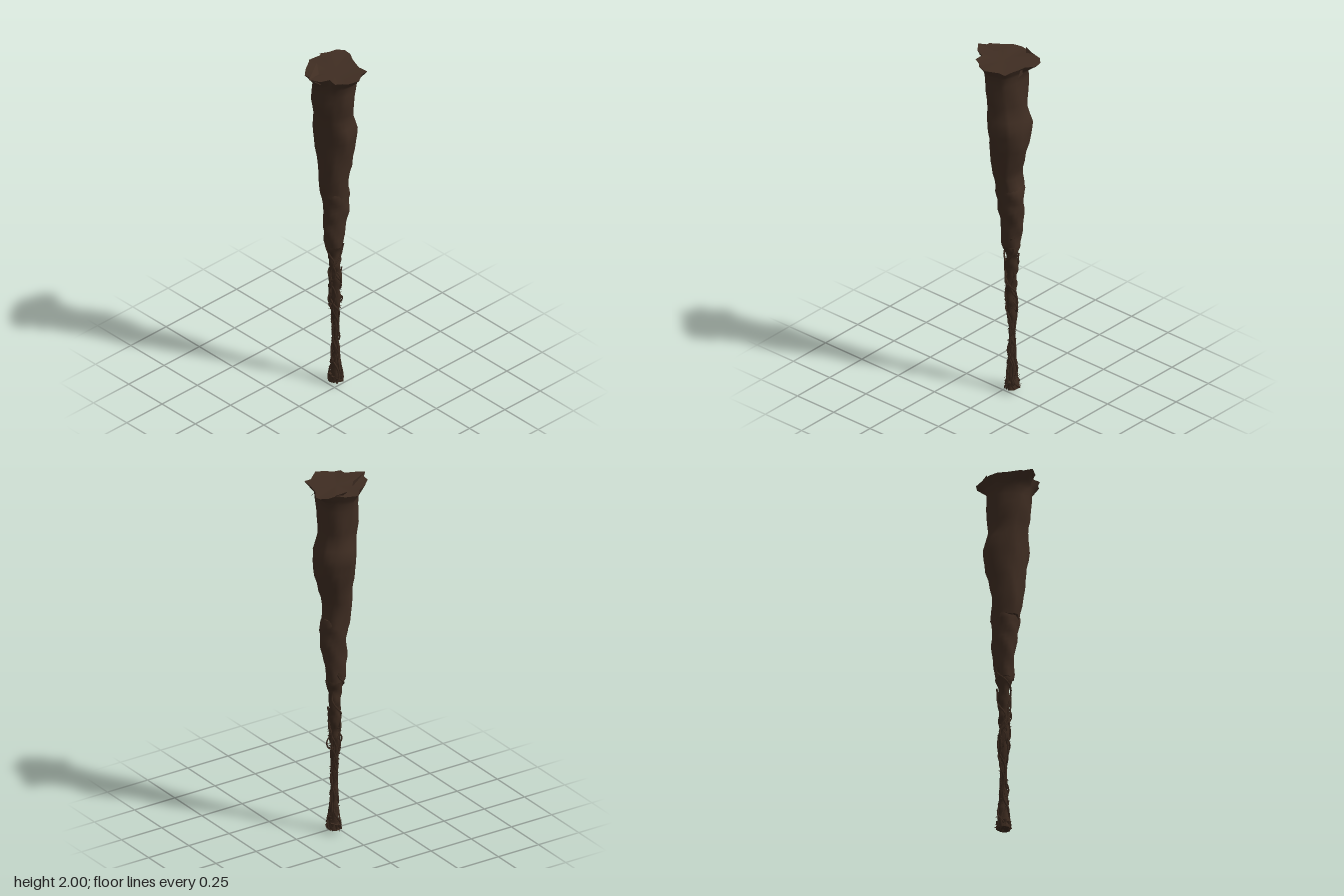
import * as THREE from 'three';

const bark = new THREE.MeshStandardMaterial({ color: 0x3f2d22 });
bark.name = 'bark brown';
const root = new THREE.MeshStandardMaterial({ color: 0x3a291e });
root.name = 'root brown';

// Extents of the trunk by height: y, min x, max x, min z, max z
const EXTENTS = [
  [0.02, 0.0, 0.075, -0.075, 0.013], [0.06, 0.006, 0.07, -0.07, 0.01],
  [0.12, 0.014, 0.06, -0.062, 0.0], [0.2, 0.016, 0.053, -0.055, -0.008],
  [0.3, 0.02, 0.053, -0.048, -0.012], [0.4, 0.017, 0.053, -0.052, -0.012],
  [0.5, 0.006, 0.06, -0.065, 0.003], [0.6, 0.004, 0.06, -0.064, 0.006],
  [0.7, 0.0, 0.067, -0.066, 0.004], [0.8, -0.01, 0.073, -0.064, 0.0],
  [0.9, -0.025, 0.08, -0.08, 0.02], [1.0, -0.035, 0.1, -0.085, 0.022],
  [1.1, -0.038, 0.11, -0.092, 0.038], [1.2, -0.055, 0.1, -0.102, 0.042],
  [1.3, -0.067, 0.086, -0.106, 0.057], [1.4, -0.07, 0.113, -0.115, 0.072],
  [1.5, -0.072, 0.133, -0.138, 0.09], [1.6, -0.078, 0.138, -0.153, 0.103],
  [1.7, -0.085, 0.115, -0.127, 0.088], [1.8, -0.1, 0.113, -0.135, 0.103],
  [1.9, -0.1, 0.113, -0.138, 0.11], [2.0, -0.12, 0.13, -0.15, 0.125],
];

// Torn rim outline: x, z, y
const RIM = [
  [-0.15, -0.065, 1.985], [-0.1, -0.11, 1.98], [-0.05, -0.14, 1.985], [-0.02, -0.17, 1.97],
  [0.05, -0.155, 1.975], [0.09, -0.135, 1.985], [0.14, -0.13, 1.98], [0.17, -0.1, 1.975],
  [0.172, -0.065, 1.97], [0.14, -0.01, 1.975], [0.13, 0.025, 1.97], [0.12, 0.06, 1.97],
  [0.12, 0.12, 1.975], [0.08, 0.12, 1.975], [0.02, 0.165, 1.985], [-0.035, 0.145, 1.98],
  [-0.06, 0.12, 1.98], [-0.095, 0.105, 1.985], [-0.09, 0.06, 1.99], [-0.14, 0.04, 1.99],
  [-0.175, -0.005, 2.0], [-0.15, -0.03, 1.99],
];

let seed = 7;
const rand = () => (seed = (seed * 16807) % 2147483647) / 2147483647;

function extentsAt(y) {
  let i = 0;
  while (i < EXTENTS.length - 2 && EXTENTS[i + 1][0] < y) i++;
  const a = EXTENTS[i], b = EXTENTS[i + 1];
  const t = THREE.MathUtils.smoothstep(y, a[0], b[0]);
  return a.map((v, k) => THREE.MathUtils.lerp(v, b[k], t));
}

// Point on the trunk surface at a height and angle, scaled about its axis
function trunkPoint(y, angle, scale = 1) {
  const [, x0, x1, z0, z1] = extentsAt(y);
  return new THREE.Vector3(
    (x0 + x1) / 2 + ((x1 - x0) / 2) * scale * Math.cos(angle), y,
    (z0 + z1) / 2 + ((z1 - z0) / 2) * scale * Math.sin(angle));
}

// Closed skin through rings that run from bottom to top
function loft(rings, topCentre, bottomCentre) {
  const n = rings[0].length, index = [];
  const points = rings.flat();
  for (let i = 0; i < rings.length - 1; i++) for (let j = 0; j < n; j++) {
    const k = (j + 1) % n, a = i * n + j, b = a + n, c = i * n + k, d = c + n;
    index.push(a, b, c, b, d, c);
  }
  // Caps have their own rim points so the edge stays sharp
  const cap = (ring, centre, up) => {
    const s = points.length;
    points.push(...ring, centre);
    for (let j = 0; j < n; j++) {
      const k = (j + 1) % n;
      index.push(s + n, s + (up ? k : j), s + (up ? j : k));
    }
  };
  cap(rings[rings.length - 1], topCentre, true);
  cap(rings[0], bottomCentre, false);
  const geometry = new THREE.BufferGeometry().setFromPoints(points);
  geometry.setIndex(index);
  geometry.computeVertexNormals();
  return geometry;
}

// Lumpy length of trunk
function section(y0, y1, rows, sides, scaleAt) {
  const rings = [];
  for (let i = 0; i <= rows; i++) {
    const y = y0 + ((y1 - y0) * i) / rows;
    rings.push(Array.from({ length: sides }, (_, j) => {
      const a = (j / sides) * Math.PI * 2;
      return trunkPoint(y, a, scaleAt(y, a));
    }));
  }
  return loft(rings, trunkPoint(y1, 0, 0), trunkPoint(y0, 0, 0));
}

export function createModel() {
  const model = new THREE.Group();
  const add = (name, geometry, material, parent = model) => {
    const mesh = new THREE.Mesh(geometry, material);
    mesh.name = name;
    parent.add(mesh);
    return mesh;
  };

  // Upper trunk with a ragged lower lip, flaring into the torn rim
  const rings = [];
  const angles = RIM.map(([x, z]) => Math.atan2(z, x));
  for (let y = 1.2; y < 1.93; y += 0.045) {
    rings.push(angles.map((a) => {
      const lump = 0.04 * Math.sin(3 * a + y * 9) + 0.03 * Math.sin(5 * a - y * 21);
      const p = trunkPoint(y, a, 0.99 + lump);
      if (y < 1.21) p.y += 0.018 * Math.sin(2 * a + 1) + 0.008 * Math.sin(5 * a);
      return p;
    }));
  }
  const last = rings[rings.length - 1];
  for (const t of [0.4, 1]) {
    rings.push(RIM.map(([x, z, y], j) => last[j].clone().lerp(new THREE.Vector3(x, y, z), t)));
  }
  add('upperTrunk', loft(rings, new THREE.Vector3(0, 1.968, 0), trunkPoint(1.215, 0, 0)), bark);

  // Raised flakes on the rim
  for (const [name, a, b, c] of [
    ['leftRimFlake', [-0.175, 2.0, -0.005], [-0.03, 1.992, -0.1], [-0.13, 1.965, 0.035]],
    ['backRimFlake', [0.03, 1.998, -0.145], [0.1, 1.985, -0.13], [0.055, 1.96, -0.12]],
    ['sideRimFlake', [0.12, 1.975, -0.01], [0.147, 1.95, 0.01], [0.135, 1.93, 0.035]],
  ]) {
    const flake = new THREE.BufferGeometry().setFromPoints([a, b, c, a, c, b].map((p) => new THREE.Vector3(...p)));
    flake.computeVertexNormals();
    add(name, flake, bark);
  }

  // Middle trunk, wrinkled, its top edge showing under the upper lip
  add('middleTrunk', section(0.87, 1.235, 16, 20, (y, a) =>
    (y > 1.22 ? 0.85 : 0.97) + 0.06 * Math.sin(3 * a + y * 17)
    + 0.05 * Math.sin(4 * a - y * 43) + (y > 1.15 ? 0.1 * Math.cos(a - 0.4) : 0)), bark);

  // Lower trunk, knotted core
  add('lowerTrunk', section(0.02, 0.93, 70, 14, (y, a) =>
    0.86 + 0.1 * Math.sin(2 * a + y * 47) + 0.08 * Math.sin(3 * a - y * 83)
    + 0.06 * Math.sin(y * 61)), root);

  // Roots winding round the lower trunk
  const roots = new THREE.Group();
  roots.name = 'windingRoots';
  model.add(roots);
  for (let i = 0; i < 7; i++) {
    const points = [], turn = (i % 2 ? -1 : 1) * (5 + i * 1.3), top = 0.62 + 0.05 * i;
    for (let k = 0; k <= 44; k++) {
      const y = 0.02 + (top - 0.02) * (k / 44);
      points.push(trunkPoint(y, i * 0.9 + turn * y + 0.5 * Math.sin(y * 30 + i), 0.88 + 0.14 * rand()));
    }
    add('root', new THREE.TubeGeometry(new THREE.CatmullRomCurve3(points), 100, 0.005, 5), root, roots);
  }

  // Loose root loops standing off the trunk
  for (const [y, a] of [[0.51, 0.1], [0.53, 3.4], [0.3, 1.2], [0.25, 1.9], [0.67, 1.6], [0.42, 4.9]]) {
    const out = y === 0.51 ? 1.5 : 1.25;
    const curve = new THREE.CatmullRomCurve3([
      trunkPoint(y - 0.035, a - 0.4, 0.8), trunkPoint(y - 0.015, a, out),
      trunkPoint(y + 0.015, a + 0.1, out), trunkPoint(y + 0.035, a + 0.4, 0.8)]);
    add('rootLoop', new THREE.TubeGeometry(curve, 14, 0.004, 5), root, roots);
  }

  // Short bristles, densest near the foot
  const bristles = new THREE.Group();
  bristles.name = 'bristles';
  model.add(bristles);
  const up = new THREE.Vector3(0, 1, 0);
  const spike = new THREE.ConeGeometry(0.0035, 0.022, 4);
  for (let i = 0; i < 170; i++) {
    const y = 0.025 + 0.6 * Math.pow(rand(), 1.3), a = rand() * Math.PI * 2;
    const dir = new THREE.Vector3(Math.cos(a), rand() * 1.2 - 0.6, Math.sin(a)).normalize();
    const mesh = add('bristle', spike, root, bristles);
    mesh.position.copy(trunkPoint(y, a, 0.95));
    mesh.quaternion.setFromUnitVectors(up, dir);
  }

  // Foot: a knot of stubs pointing down
  const stub = new THREE.ConeGeometry(0.012, 0.045, 5);
  for (let i = 0; i < 9; i++) {
    const mesh = add('footStub', stub, root);
    mesh.position.copy(trunkPoint(0.03, i * 0.7, i ? 0.75 : 0.2));
    mesh.position.y = i ? 0.028 + 0.006 * (i % 3) : 0.0225;
    mesh.rotation.x = Math.PI;
  }
  return model;
}
